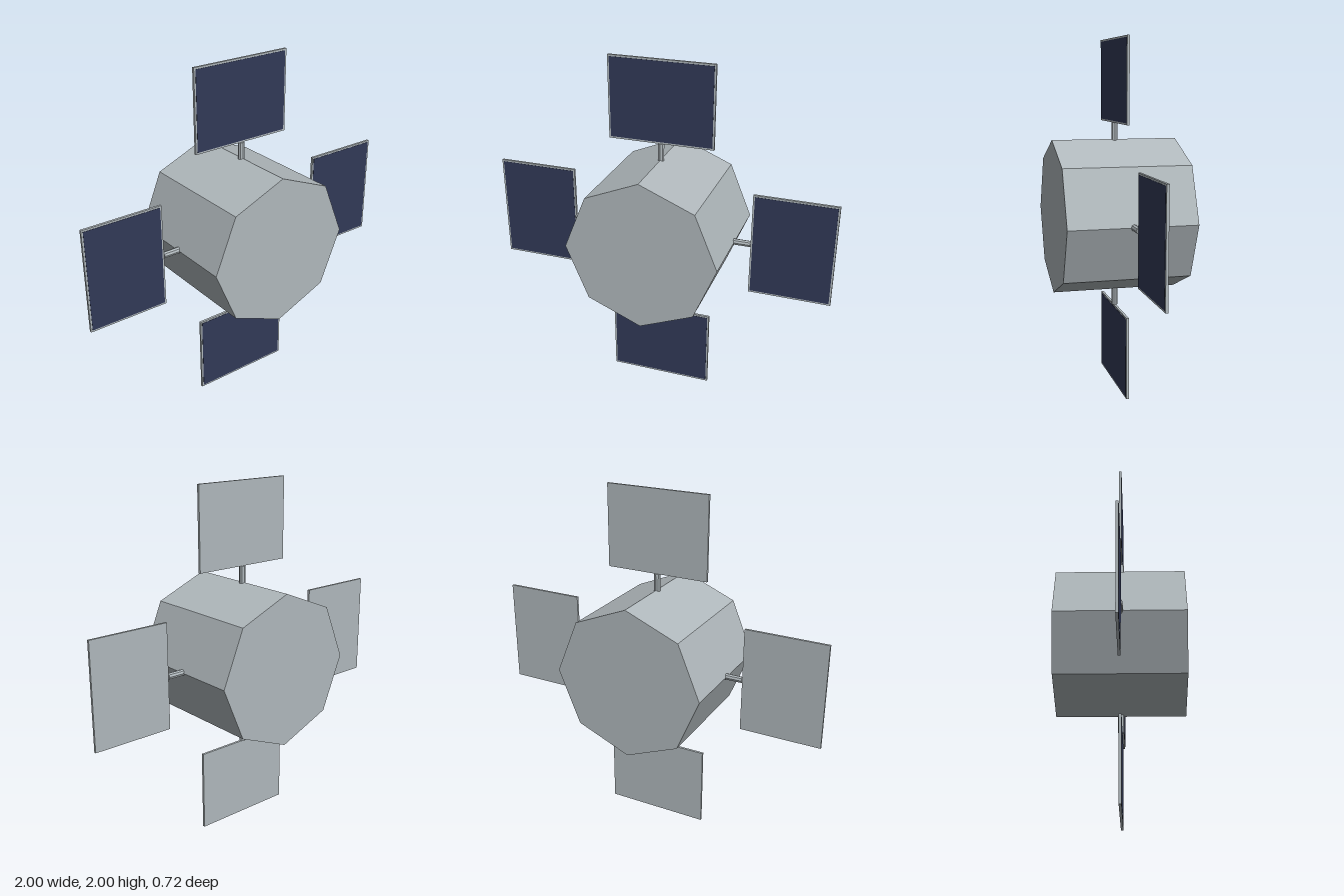
import * as THREE from 'three';

export function createModel() {
  const model = new THREE.Group();
  model.name = 'satellite';
  const metal = new THREE.MeshStandardMaterial({ color: 0xb0b8bc, flatShading: true });
  metal.name = 'light grey metal';
  const cellBlue = new THREE.MeshStandardMaterial({ color: 0x313957, flatShading: true });
  cellBlue.name = 'dark blue cells';

  const add = (parent, name, geometry, material, x, y, z) => {
    const mesh = new THREE.Mesh(geometry, material);
    mesh.name = name;
    mesh.position.set(x, y, z);
    parent.add(mesh);
    return mesh;
  };

  // Octagonal body lying along z, corners on the axes
  const body = new THREE.CylinderGeometry(0.437, 0.437, 0.72, 8).rotateX(Math.PI / 2);
  add(model, 'body', body, metal, 0, 1, 0);

  // Four arms around the body, each with a strut and a solar panel
  const strut = new THREE.CylinderGeometry(0.018, 0.018, 0.11, 8);
  const frame = new THREE.BoxGeometry(0.606, 0.47, 0.014);
  const cells = new THREE.BoxGeometry(0.586, 0.45, 0.003);
  for (let i = 0; i < 4; i++) {
    const arm = new THREE.Group();
    arm.name = ['topArm', 'rightArm', 'bottomArm', 'leftArm'][i];
    arm.position.y = 1;
    arm.rotation.z = i * Math.PI / 2;
    add(arm, 'strut', strut, metal, 0, 0.475, 0);
    add(arm, 'panelFrame', frame, metal, 0, 0.765, 0);
    add(arm, 'solarCells', cells, cellBlue, 0, 0.765, 0.007);
    model.add(arm);
  }
  return model;
}
